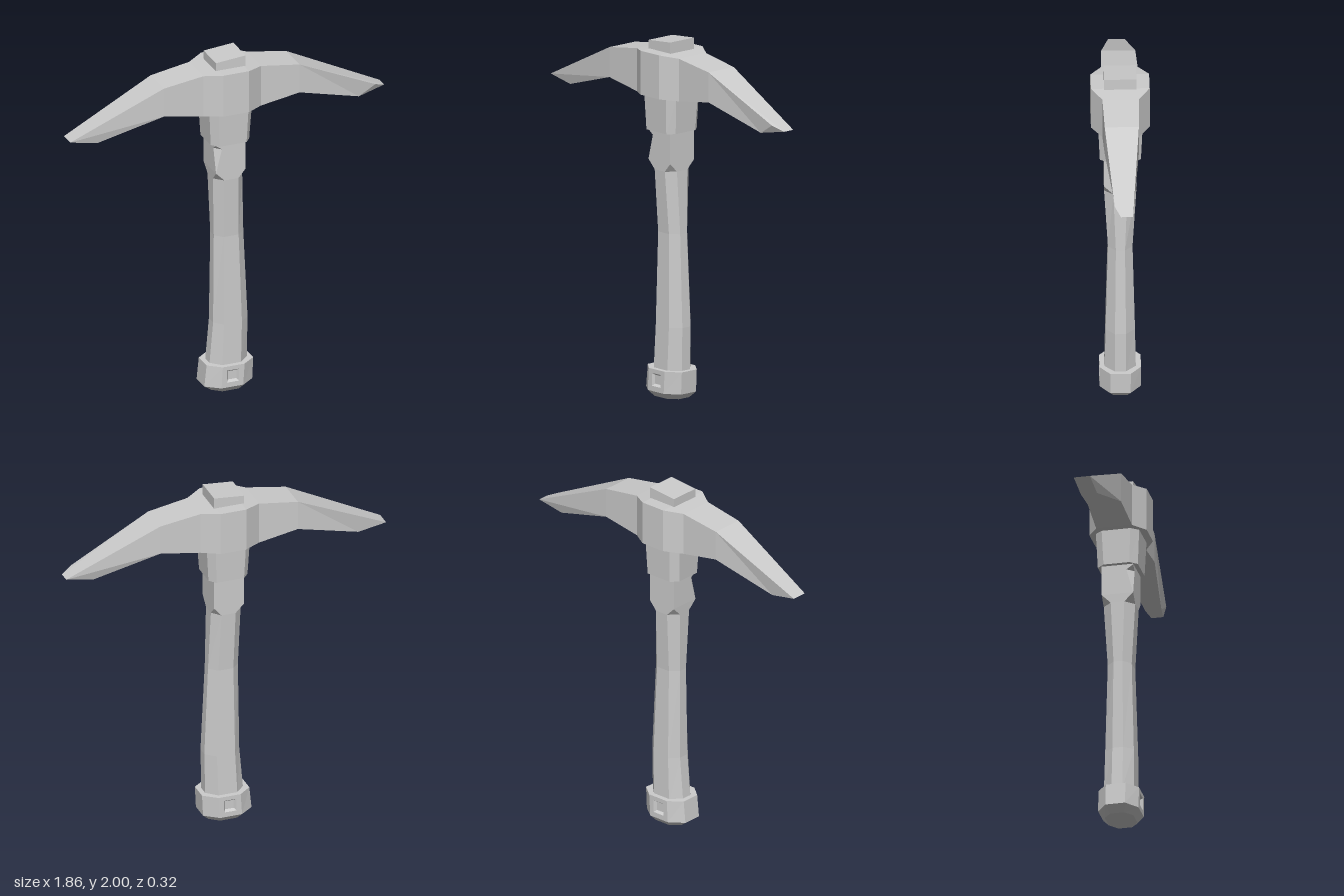
import * as THREE from 'three';

const material = new THREE.MeshStandardMaterial({ color: 0xcccccc, flatShading: true, side: THREE.DoubleSide });

function addMesh(group, name, geometry) {
  const mesh = new THREE.Mesh(geometry, material);
  mesh.name = name;
  group.add(mesh);
  return mesh;
}

// Skin a list of equal-length rings with flat faces; skip(j) leaves a side open.
function loft(rings, { capStart = true, capEnd = true, skip = () => false } = {}) {
  const pos = [];
  const tri = (a, b, c) => pos.push(...a, ...b, ...c);
  const n = rings[0].length;
  for (let i = 0; i < rings.length - 1; i++) {
    for (let j = 0; j < n; j++) {
      if (skip(i, j)) continue;
      const k = (j + 1) % n;
      const a = rings[i][j], b = rings[i][k], c = rings[i + 1][k], d = rings[i + 1][j];
      tri(a, d, b);
      tri(b, d, c);
    }
  }
  const last = rings[rings.length - 1];
  for (let j = 1; j < n - 1; j++) {
    if (capStart) tri(rings[0][0], rings[0][j], rings[0][j + 1]);
    if (capEnd) tri(last[0], last[j + 1], last[j]);
  }
  const g = new THREE.BufferGeometry();
  g.setAttribute('position', new THREE.Float32BufferAttribute(pos, 3));
  g.computeVertexNormals();
  return g;
}

// Octagon at height y: x from x0 to x1 with front flat f0..f1, half depth hz with side flat fz.
const oct = (y, x0, x1, f0, f1, hz, fz) => [
  [x1, y, -fz], [x1, y, fz], [f1, y, hz], [f0, y, hz],
  [x0, y, fz], [x0, y, -fz], [f0, y, -hz], [f1, y, -hz],
];
const square = (y) => oct(y, -0.09, 0.085, -0.09, 0.085, 0.088, 0.088);

function createHandle() {
  // Wood chip on one corner, just under the collar
  const chipped = square(1.46);
  chipped[3] = [-0.055, 1.46, 0.088];
  chipped[4] = [-0.09, 1.46, 0.05];
  // Slightly sloping top end
  const top = square(2).map(([x, , z]) => [x, 1.9925 + x * 0.088, z]);
  return loft([
    oct(0.14, -0.106, 0.115, -0.052, 0.058, 0.085, 0.03),
    oct(0.40, -0.083, 0.12, -0.04, 0.066, 0.08, 0.03),
    oct(0.92, -0.077, 0.097, -0.035, 0.052, 0.067, 0.025),
    oct(1.27, -0.088, 0.085, -0.04, 0.042, 0.088, 0.038),
    square(1.32), chipped, square(1.486), top,
  ]);
}

function createHead() {
  const ring = (x, bottom, top, z) =>
    [[x, bottom, z], [x, top, z], [x, top, z], [x, top, -z], [x, bottom, -z]];
  return loft([
    // Skewed end rings form the slanted undersides of the two tips
    [[-0.77, 1.61, 0.045], [-0.93, 1.64, 0.042], [-0.93, 1.64, 0.042], [-0.93, 1.64, -0.048], [-0.77, 1.61, -0.045]],
    ring(-0.4, 1.722, 1.89, 0.093),
    ring(-0.17, 1.685, 1.926, 0.1),
    ring(-0.075, 1.692, 1.938, 0.16),
    ring(0.075, 1.692, 1.938, 0.16),
    ring(0.17, 1.688, 1.926, 0.1),
    ring(0.4, 1.722, 1.89, 0.093),
    // This tip has one broken corner
    [[0.77, 1.61, 0.045], [0.865, 1.668, 0.05], [0.93, 1.64, 0.018], [0.93, 1.64, -0.048], [0.77, 1.61, -0.045]],
  ]);
}

function createPommel() {
  const group = new THREE.Group();
  group.name = 'pommel';
  const bottom = oct(0.035, -0.145, 0.137, -0.068, 0.06, 0.113, 0.055);
  const top = oct(0.16, -0.132, 0.143, -0.06, 0.068, 0.113, 0.055);
  // Side 2 is the front and side 6 the back: both are left open for the socket panels
  addMesh(group, 'pommelBody', loft(
    [oct(0, -0.098, 0.1, -0.05, 0.048, 0.08, 0.038), bottom, top],
    { skip: (i, j) => i === 1 && (j === 2 || j === 6) }));

  for (const [name, side, j] of [['front', 1, 2], ['back', -1, 6]]) {
    const v = (p) => new THREE.Vector2(p[0], p[1]);
    const panel = new THREE.Shape([v(bottom[j]), v(bottom[j + 1]), v(top[j + 1]), v(top[j])]);
    const rim = (h, z) => [[-h, 0.1 - h, z], [h, 0.1 - h, z], [h, 0.1 + h, z], [-h, 0.1 + h, z]];
    panel.holes.push(new THREE.Path(rim(0.036, 0).map(v)));
    const panelGeometry = new THREE.ShapeGeometry(panel);
    if (side < 0) {
      // Turn the faces outward on the back
      const idx = panelGeometry.index.array;
      for (let i = 0; i < idx.length; i += 3) [idx[i], idx[i + 1]] = [idx[i + 1], idx[i]];
      panelGeometry.computeVertexNormals();
    }
    addMesh(group, name + 'Panel', panelGeometry).position.z = side * 0.113;
    // Sloped recess with a flat floor
    const rings = [rim(0.036, side * 0.113), rim(0.025, side * 0.098)];
    if (side > 0) rings.forEach((r) => r.reverse());
    rings.forEach((r) => r.reverse());
    addMesh(group, name + 'Socket', loft(rings, { capStart: false }));
  }
  return group;
}

export function createModel() {
  const model = new THREE.Group();
  model.name = 'pickaxe';
  addMesh(model, 'handle', createHandle());
  addMesh(model, 'head', createHead());
  addMesh(model, 'collar', loft([
    oct(1.49, -0.115, 0.112, -0.08, 0.08, 0.112, 0.072),
    oct(1.695, -0.126, 0.125, -0.088, 0.088, 0.121, 0.08),
  ]));
  model.add(createPommel());
  return model;
}
